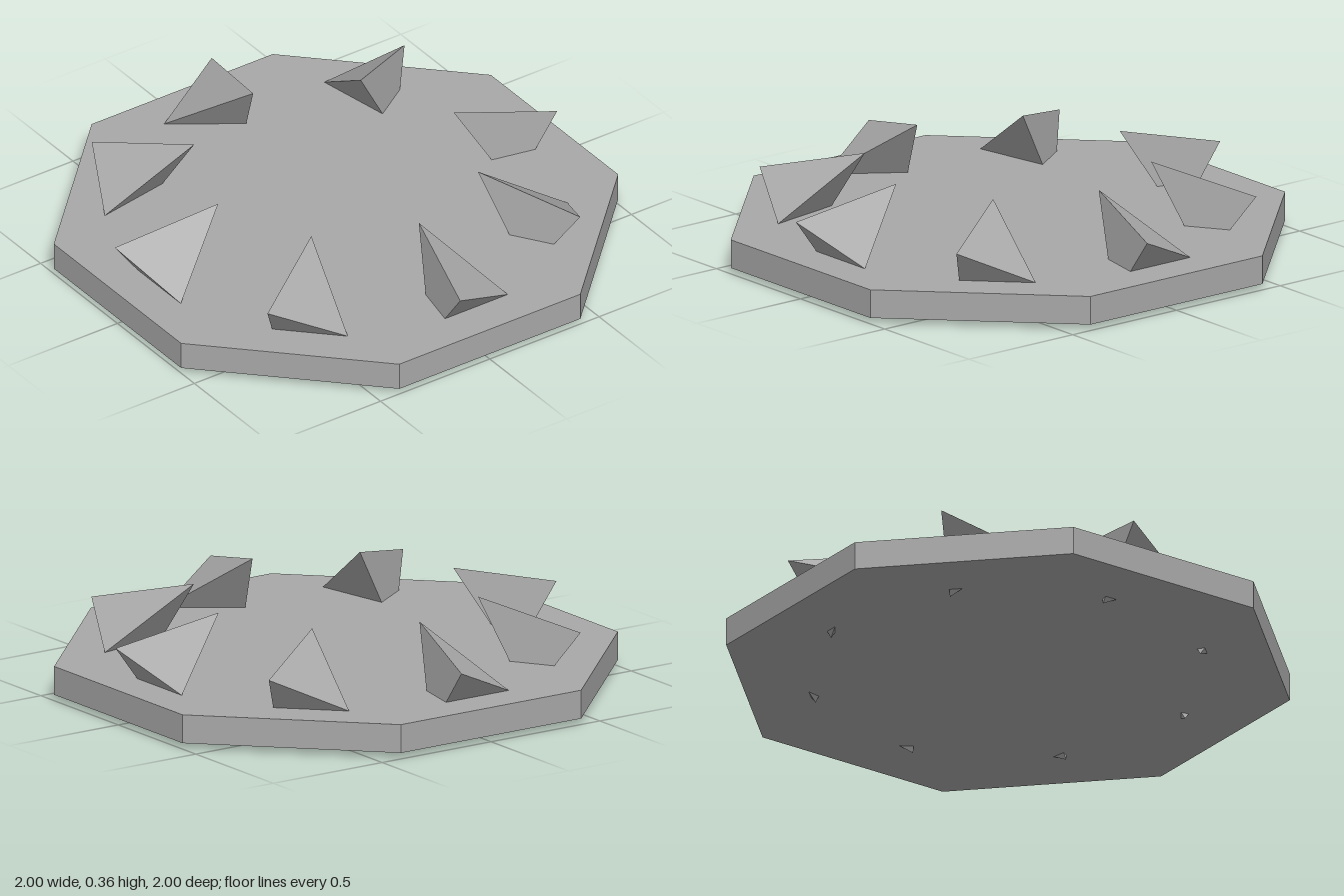
import * as THREE from 'three';

export function createModel() {
  const model = new THREE.Group();
  const stone = new THREE.MeshStandardMaterial({ color: 0xa8a8a8, flatShading: true });
  stone.name = 'grey stone';

  // Octagonal plate, flat sides facing the axes
  const plateTop = 0.135, plateBottom = 0.025;
  const radius = 1 / Math.cos(Math.PI / 8);
  const plateGeo = new THREE.CylinderGeometry(radius, radius, plateTop - plateBottom, 8);
  plateGeo.rotateY(Math.PI / 8);
  const plate = new THREE.Mesh(plateGeo, stone);
  plate.name = 'octagonalPlate';
  plate.position.y = (plateTop + plateBottom) / 2;
  model.add(plate);

  // Three-sided spike leaning inwards, its lowest corner poking through the plate
  const height = 0.382;
  const spikeGeo = new THREE.ConeGeometry(0.192, height, 3);
  spikeGeo.rotateY(Math.PI / 2);
  spikeGeo.translate(0, height / 2, 0);
  spikeGeo.rotateX(-0.93);
  spikeGeo.translate(0, plateTop, 0.845);

  // Ring of eight spikes, one per side
  for (let i = 0; i < 8; i++) {
    const spike = new THREE.Mesh(spikeGeo, stone);
    spike.name = `spike${i + 1}`;
    spike.rotation.y = (i * Math.PI) / 4;
    model.add(spike);
  }
  return model;
}
